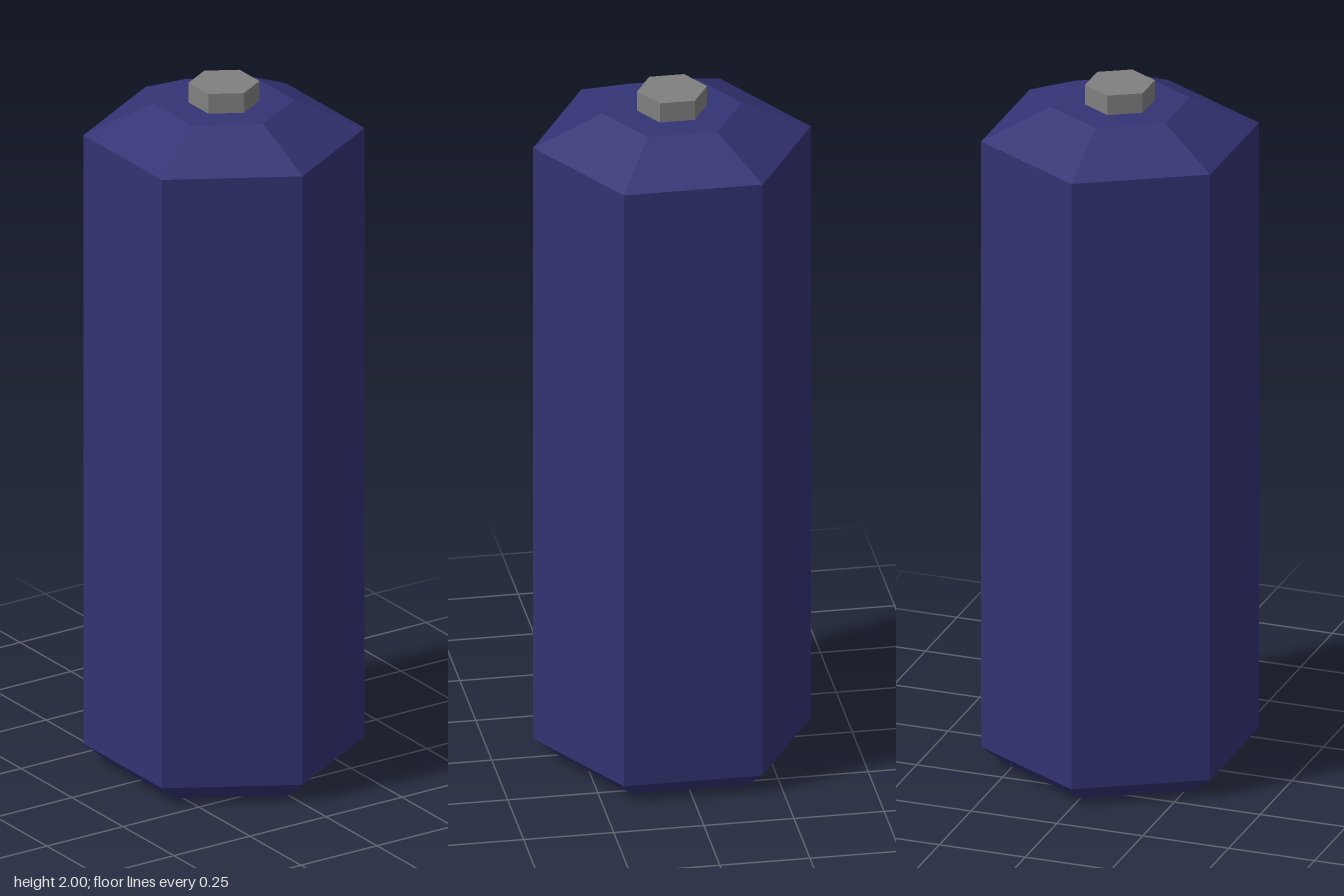
import * as THREE from 'three';

const SIDES = 6;

export function createModel() {
  const model = new THREE.Group();
  model.name = 'hexagonalBattery';

  const casingBlue = new THREE.MeshStandardMaterial({ color: 0x333374, flatShading: true });
  casingBlue.name = 'casingBlue';
  const contactGrey = new THREE.MeshStandardMaterial({ color: 0x808080, flatShading: true });
  contactGrey.name = 'contactGrey';

  const add = (name, geometry, material, y = 0) => {
    const mesh = new THREE.Mesh(geometry, material);
    mesh.name = name;
    mesh.position.y = y;
    model.add(mesh);
  };

  // Six-sided casing: lower bevel, straight wall, sloped shoulder, flat top
  const profile = [
    [0.316, 0],
    [0.385, 0.055],
    [0.385, 1.853],
    [0.193, 1.942],
    [0, 1.942],
  ].map(([r, y]) => new THREE.Vector2(r, y));
  add('casing', new THREE.LatheGeometry(profile, SIDES), casingBlue);

  // Flat contact closing the underside
  const base = new THREE.CircleGeometry(0.316, SIDES, Math.PI / 2);
  base.rotateX(Math.PI / 2);
  add('baseContact', base, contactGrey);

  // Raised terminal on top
  add('topTerminal', new THREE.CylinderGeometry(0.097, 0.097, 0.058, SIDES), contactGrey, 1.971);

  return model;
}
